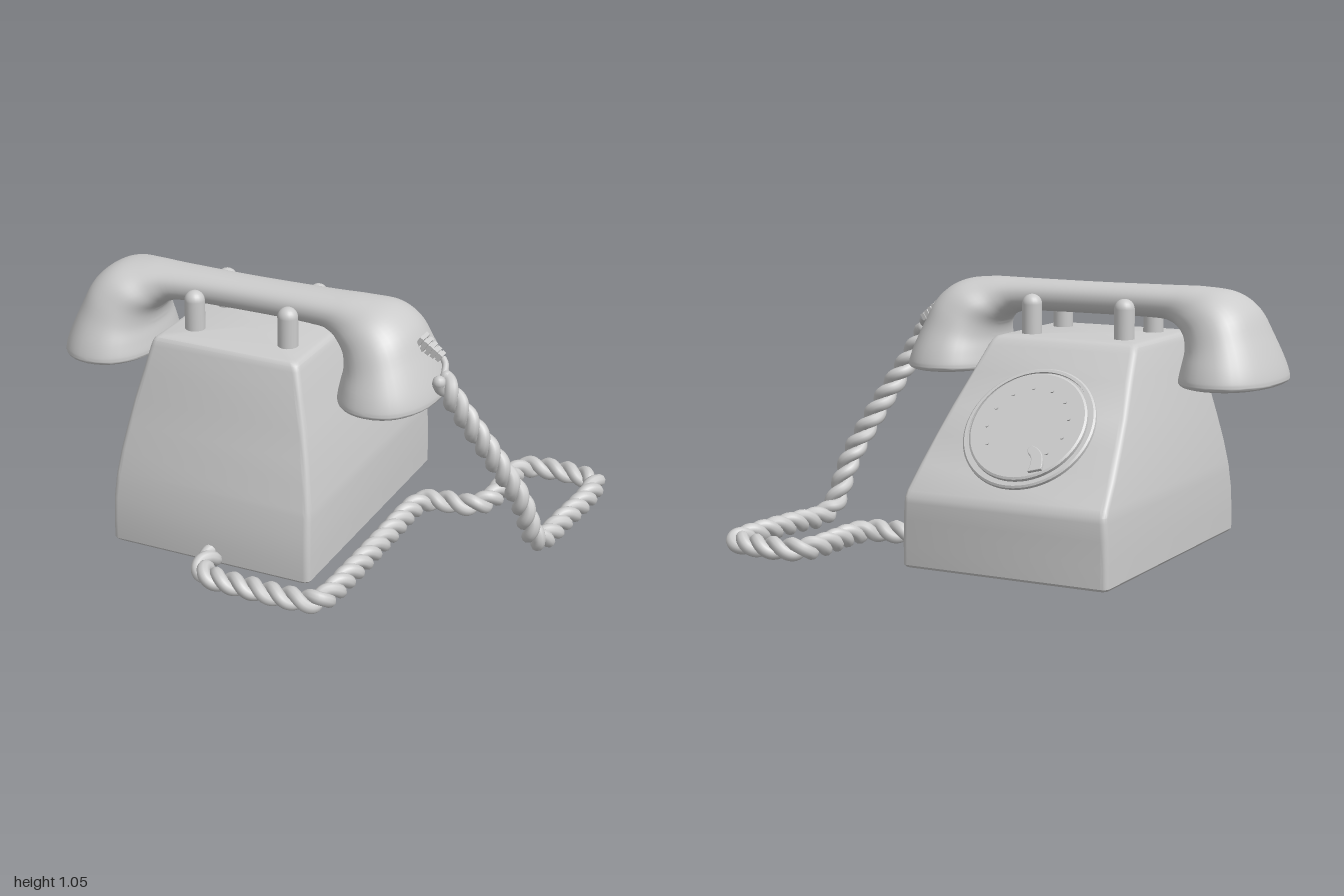
import * as THREE from 'three';
import { toCreasedNormals } from 'three/addons/utils/BufferGeometryUtils.js';

const MID = -0.215; // x of the telephone's own centre line
const V = (x, y, z) => new THREE.Vector3(x, y, z);
const material = new THREE.MeshStandardMaterial({ color: 0xcccccc });

function add(parent, name, geometry) {
  const mesh = new THREE.Mesh(geometry, material);
  mesh.name = name;
  parent.add(mesh);
  return mesh;
}

// Skin closed rings of points and cap both ends
function loft(rings, crease) {
  const n = rings[0].length, pos = [], index = [];
  const push = (p) => pos.push(p.x, p.y, p.z);
  rings.forEach((ring) => ring.forEach(push));
  for (let i = 0; i < rings.length - 1; i++) {
    for (let j = 0; j < n; j++) {
      const a = i * n + j, b = i * n + (j + 1) % n;
      index.push(a, b, a + n, b, b + n, a + n);
    }
  }
  [0, rings.length - 1].forEach((r) => {
    const centre = V(0, 0, 0);
    rings[r].forEach((p) => centre.addScaledVector(p, 1 / n));
    const c = pos.length / 3;
    push(centre);
    for (let j = 0; j < n; j++) {
      const a = r * n + j, b = r * n + (j + 1) % n;
      if (r === 0) index.push(c, b, a);
      else index.push(c, a, b);
    }
  });
  const geometry = new THREE.BufferGeometry();
  geometry.setAttribute('position', new THREE.Float32BufferAttribute(pos, 3));
  geometry.setIndex(index);
  return toCreasedNormals(geometry, crease);
}

// Rounded rectangle at height y
function bodyRing([y, w, front, back]) {
  const r = 0.025, ring = [];
  for (let k = 0; k < 4; k++) {
    const right = k === 0 || k === 3, rear = k < 2;
    for (let s = 0; s <= 4; s++) {
      const a = (k + s / 4) * Math.PI / 2;
      ring.push(V(MID + (right ? w - r : r - w) + r * Math.cos(a), y,
        (rear ? back + r : front - r) - r * Math.sin(a)));
    }
  }
  return ring;
}

function makeBody() {
  // height, half width, front z, back z
  const rows = [
    [0.015, 0.422, 0.542, -0.632], [0.025, 0.43, 0.55, -0.64], [0.1, 0.43, 0.55, -0.64],
    [0.2, 0.428, 0.544, -0.64], [0.265, 0.424, 0.533, -0.64], [0.285, 0.423, 0.53, -0.637],
    [0.31, 0.42, 0.525, -0.622], [0.4, 0.408, 0.505, -0.541], [0.5, 0.39, 0.48, -0.453],
    [0.6, 0.37, 0.455, -0.364], [0.72, 0.34, 0.426, -0.258], [0.815, 0.318, 0.403, -0.174],
    [0.835, 0.311, 0.396, -0.155], [0.846, 0.3, 0.386, -0.137], [0.85, 0.285, 0.37, -0.115],
  ];
  return loft(rows.map(bodyRing), 0.5);
}

function makeHandset() {
  // Matching outer and inner profile points: x, y, half depth
  const outer = [[-0.97, 0.685, 0.262], [-0.993, 0.692, 0.28], [-1.0, 0.71, 0.285], [-0.982, 0.77, 0.268],
    [-0.938, 0.87, 0.235], [-0.885, 0.97, 0.205], [-0.8, 1.032, 0.172], [-0.68, 1.05, 0.122], [-0.53, 1.05, 0.1]];
  const inner = [[-0.65, 0.685], [-0.624, 0.692], [-0.618, 0.71], [-0.627, 0.76],
    [-0.636, 0.81], [-0.628, 0.855], [-0.603, 0.887], [-0.56, 0.91], [-0.49, 0.922]];
  const curve = (half, middle) => new THREE.CatmullRomCurve3([
    ...half.map(([x, y, d = 0]) => V(x, y, d)),
    middle,
    ...half.map(([x, y, d = 0]) => V(2 * MID - x, y, d)).reverse(),
  ], false, 'catmullrom', 0.5);
  const top = curve(outer, V(MID, 1.048, 0.091));
  const under = curve(inner, V(MID, 0.924, 0));
  const soft = (v) => Math.sign(v) * Math.pow(Math.abs(v), 0.9);
  const rings = [];
  for (let i = 0; i <= 90; i++) {
    const o = top.getPoint(i / 90), u = under.getPoint(i / 90), depth = o.z;
    o.z = u.z = 0;
    const centre = o.clone().add(u).multiplyScalar(0.5);
    const arm = o.sub(centre);
    const ring = [];
    for (let j = 0; j < 40; j++) {
      const a = j / 40 * Math.PI * 2;
      const p = centre.clone().addScaledVector(arm, soft(Math.cos(a)));
      p.z = 0.135 + depth * soft(Math.sin(a));
      ring.push(p);
    }
    rings.push(ring);
  }
  return loft(rings, 0.8);
}

function makeDial() {
  const dial = new THREE.Group();
  dial.name = 'dial';
  const profile = [[0.265, -0.02], [0.265, 0.012], [0.258, 0.018], [0.246, 0.018], [0.246, 0.01],
    [0.236, 0.01], [0.236, 0.024], [0.228, 0.029], [0, 0.029]].map(([x, y]) => new THREE.Vector2(x, y));
  add(dial, 'dialPlate', toCreasedNormals(new THREE.LatheGeometry(profile, 64).rotateX(Math.PI / 2), 0.5));
  for (let i = 0; i < 10; i++) {
    const a = -0.75 + i * 0.5;
    const stud = add(dial, 'dialMark', new THREE.CylinderGeometry(0.008, 0.008, 0.008, 12).rotateX(Math.PI / 2));
    stud.position.set(0.165 * Math.cos(a), 0.165 * Math.sin(a), 0.03);
  }
  // Curved finger stop
  const stop = new THREE.Shape();
  stop.moveTo(0.125, -0.185);
  stop.quadraticCurveTo(0.12, -0.11, 0.06, -0.095);
  stop.quadraticCurveTo(0.04, -0.105, 0.055, -0.125);
  stop.quadraticCurveTo(0.085, -0.14, 0.08, -0.2);
  stop.closePath();
  add(dial, 'fingerStop', new THREE.ExtrudeGeometry(stop,
    { depth: 0.012, bevelSize: 0.003, bevelThickness: 0.003, bevelSegments: 2 })).position.z = 0.027;
  // Lay the dial on the sloping face
  dial.position.set(MID, 0.543, -0.415);
  dial.lookAt(MID, 0.543 + 0.664, -0.415 - 0.749);
  return dial;
}

// Two strands twisted around a shared path
function makeCord(points) {
  const cord = new THREE.Group();
  cord.name = 'cord';
  const path = new THREE.CatmullRomCurve3(points.map((p) => V(...p)), false, 'centripetal');
  path.arcLengthDivisions = 1000;
  const steps = 700, frames = path.computeFrenetFrames(steps), turns = Math.round(path.getLength() / 0.16);
  for (let s = 0; s < 2; s++) {
    const strand = [];
    for (let i = 0; i <= steps; i++) {
      const a = (i / steps * turns + s / 2) * Math.PI * 2;
      strand.push(path.getPointAt(i / steps)
        .addScaledVector(frames.normals[i], 0.021 * Math.cos(a))
        .addScaledVector(frames.binormals[i], 0.021 * Math.sin(a)));
    }
    const curve = new THREE.CatmullRomCurve3(strand);
    add(cord, 'cordStrand', new THREE.TubeGeometry(curve, steps, 0.026, 10));
    [strand[0], strand[steps]].forEach((p) =>
      add(cord, 'strandEnd', new THREE.SphereGeometry(0.026, 12, 8)).position.copy(p));
  }
  return cord;
}

// Ribbed, tapering strain relief
function makePlug() {
  const plug = new THREE.Group();
  plug.name = 'cordPlug';
  for (let i = 0; i < 5; i++) {
    const w = 0.064 - i * 0.006;
    add(plug, 'plugRib', new THREE.BoxGeometry(0.016, w * 0.75, w)).position.x = i * 0.023;
  }
  add(plug, 'plugCore', new THREE.BoxGeometry(0.11, 0.024, 0.032)).position.x = 0.045;
  return plug;
}

export function createModel() {
  const phone = new THREE.Group();
  phone.name = 'telephone';
  add(phone, 'body', makeBody());
  add(phone, 'handset', makeHandset());
  phone.add(makeDial());

  // Four cradle prongs
  for (const x of [-0.2, 0.2]) {
    for (const z of [-0.02, 0.248]) {
      add(phone, 'cradleProng', new THREE.CapsuleGeometry(0.04, 0.13, 8, 20)).position.set(MID + x, 0.9, z);
    }
  }

  // Cord from the body's front, around the side and up to the handset
  const g = 0.048;
  phone.add(makeCord([
    [-0.2, g, 0.53], [-0.195, g, 0.6], [-0.175, g, 0.67], [-0.11, g, 0.705], [0, g, 0.71], [0.25, g, 0.71],
    [0.32, g, 0.69], [0.337, g, 0.62], [0.342, g, 0.45], [0.345, g, 0.1], [0.348, g, -0.16],
    [0.37, g, -0.23], [0.45, g, -0.258], [0.55, g, -0.275], [0.6, g, -0.34], [0.605, g, -0.6],
    [0.63, g, -0.69], [0.71, g, -0.718], [0.85, g, -0.718], [0.935, g, -0.69], [0.953, g, -0.6],
    [0.93, g, -0.3], [0.91, g, -0.13], [0.898, 0.08, -0.07], [0.862, 0.28, 0.02],
    [0.775, 0.48, 0.1], [0.69, 0.65, 0.17], [0.63, 0.77, 0.21], [0.605, 0.81, 0.21],
  ]));
  const plug = makePlug();
  plug.position.set(0.488, 0.92, 0.138);
  plug.rotation.z = -0.58;
  phone.add(plug);
  const lead = new THREE.CatmullRomCurve3([V(0.575, 0.864, 0.138), V(0.592, 0.848, 0.155), V(0.605, 0.815, 0.205)]);
  add(phone, 'cordLead', new THREE.TubeGeometry(lead, 12, 0.013, 10));
  return phone;
}
